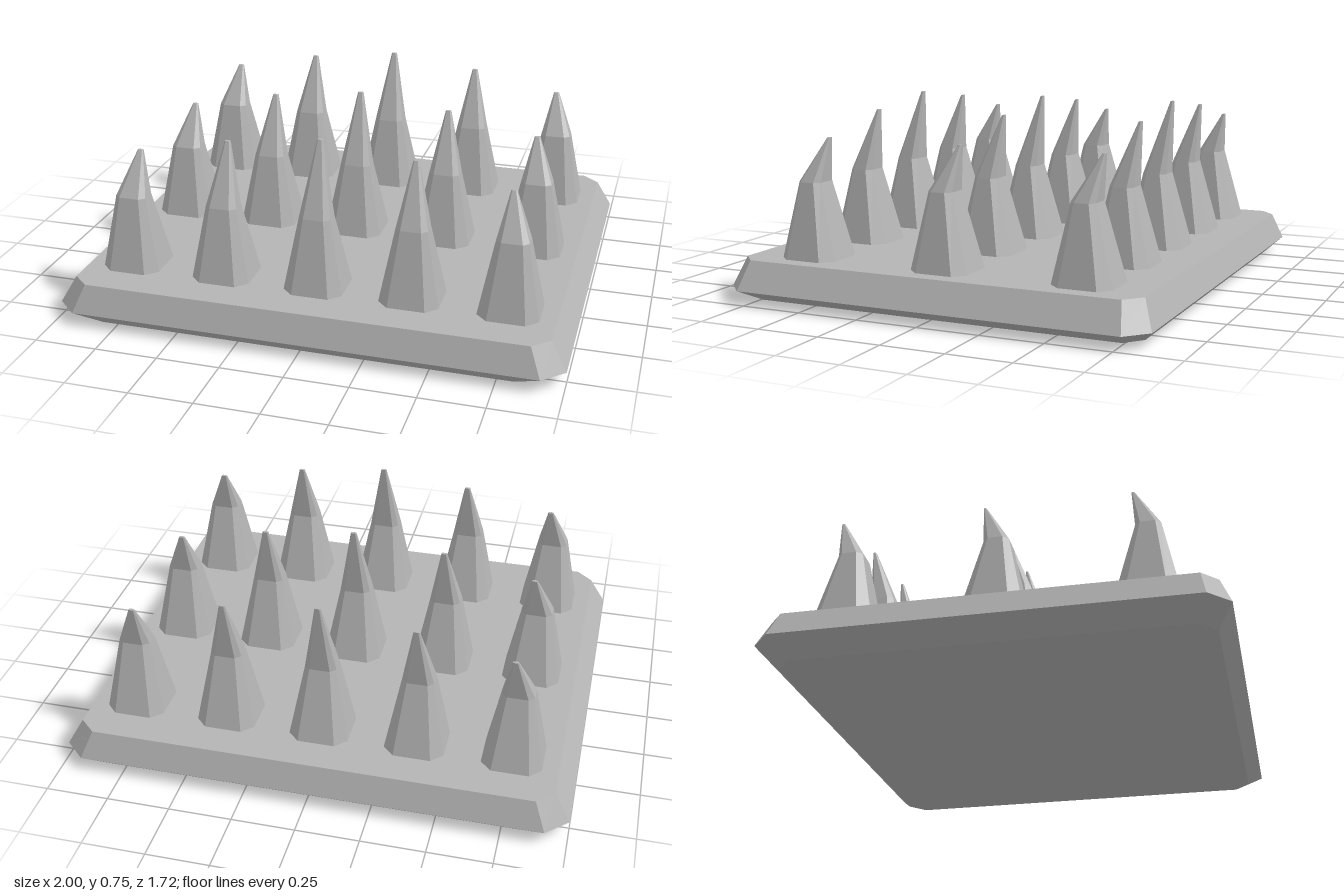
import * as THREE from 'three';

const stone = new THREE.MeshStandardMaterial({ color: 0xb4b4b4, flatShading: true });
stone.name = 'grey stone';

// Chamfered rectangle at height y: half sizes hx, hz, corner cuts cx, cz, centre (ox, oz)
function ring(y, hx, hz, cx, cz, ox = 0, oz = 0) {
  return [
    [hx, hz - cz], [hx, -hz + cz], [hx - cx, -hz], [-hx + cx, -hz],
    [-hx, -hz + cz], [-hx, hz - cz], [-hx + cx, hz], [hx - cx, hz],
  ].map(([x, z]) => new THREE.Vector3(x + ox, y, z + oz));
}

// Closed solid through a stack of rings, listed from bottom to top
function loft(rings) {
  const n = rings[0].length;
  const points = [];
  const tri = (a, b, c) => points.push(a, b, c);
  for (let k = 0; k < rings.length - 1; k++) {
    for (let i = 0; i < n; i++) {
      const j = (i + 1) % n;
      const a = rings[k][i], b = rings[k][j], c = rings[k + 1][j], d = rings[k + 1][i];
      tri(a, b, c);
      tri(a, c, d);
    }
  }
  const low = rings[0], high = rings[rings.length - 1];
  for (let i = 1; i < n - 1; i++) {
    tri(low[0], low[i + 1], low[i]);
    tri(high[0], high[i], high[i + 1]);
  }
  const geometry = new THREE.BufferGeometry().setFromPoints(points);
  geometry.computeVertexNormals();
  return geometry;
}

function addPart(parent, name, geometry) {
  const mesh = new THREE.Mesh(geometry, stone);
  mesh.name = name;
  parent.add(mesh);
  return mesh;
}

export function createModel() {
  const model = new THREE.Group();
  model.name = 'spikeTrap';

  // Base slab, bevelled above and below its widest line
  addPart(model, 'baseSlab', loft([
    ring(0, 0.885, 0.8, 0.07, 0.06),
    ring(0.055, 1, 0.858, 0.085, 0.08),
    ring(0.165, 0.937, 0.817, 0.066, 0.06),
  ]));

  // Spikes lean back; the outer columns are shorter and lean inward
  const tipHeights = [0.75, 0.705, 0.63];
  const tipShift = [0, 0.006, 0.016];
  const spikes = new THREE.Group();
  spikes.name = 'spikes';
  model.add(spikes);
  for (const z of [-0.567, -0.002, 0.563]) {
    for (let column = -2; column <= 2; column++) {
      const k = Math.abs(column);
      const lean = -Math.sign(column) * tipShift[k];
      const spike = addPart(spikes, 'spike', loft([
        ring(0.165, 0.117, 0.117, 0.044, 0.044),
        ring(0.46, 0.062, 0.048, 0.022, 0.02, 0, 0.008),
        ring(tipHeights[k], 0.011, 0.006, 0.004, 0.003, lean, -0.049),
      ]));
      spike.position.set(column * 0.378, 0, z);
    }
  }
  return model;
}
